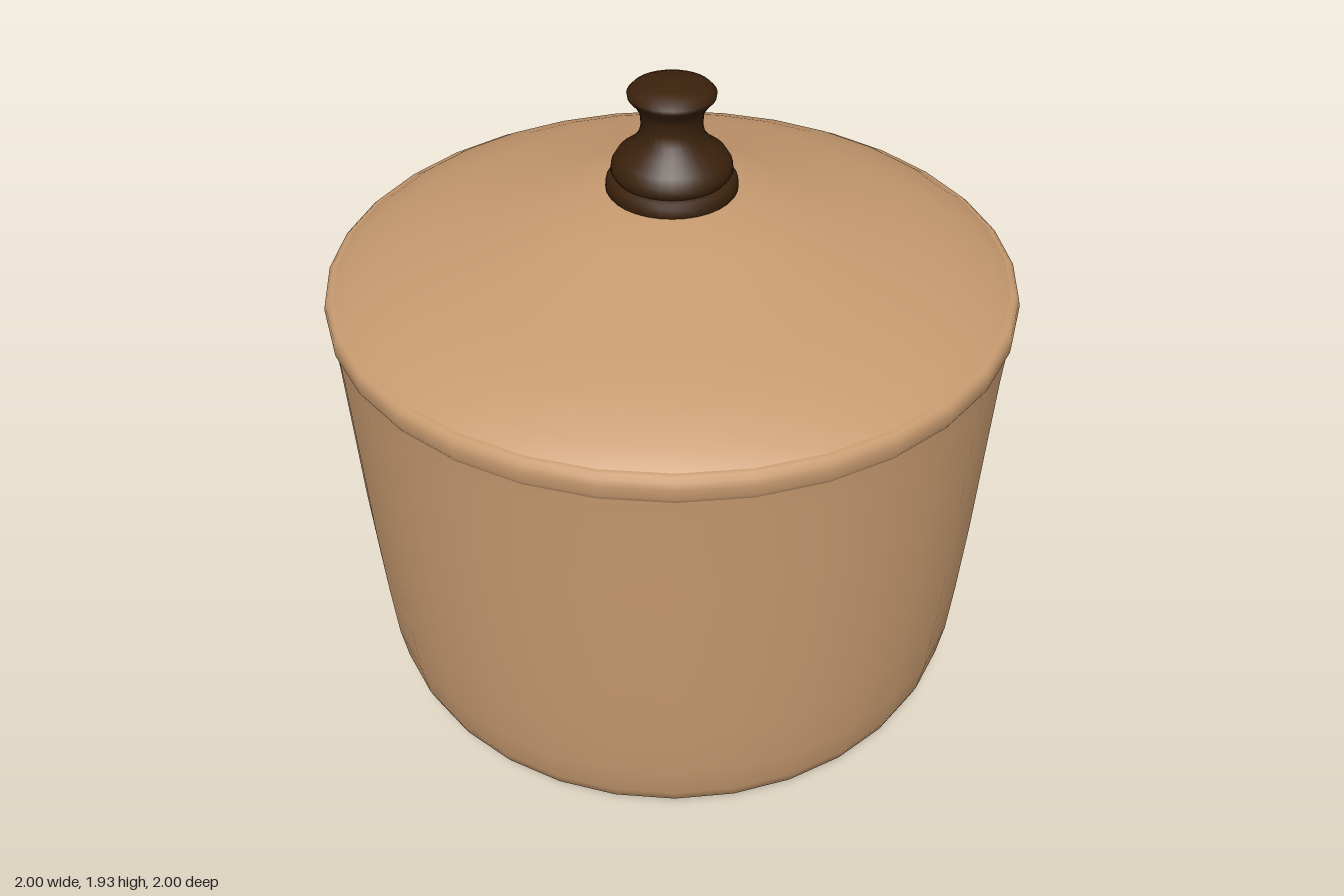
import * as THREE from 'three';

// Revolves a profile of [radius, height] points, listed from bottom to top
function turned(name, points, material, segments = 32) {
  const profile = points.map(([r, y]) => new THREE.Vector2(r, y));
  const mesh = new THREE.Mesh(new THREE.LatheGeometry(profile, segments), material);
  mesh.name = name;
  return mesh;
}

export function createModel() {
  const clay = new THREE.MeshStandardMaterial({ color: 0xc89b70 });
  clay.name = 'tan clay';
  const wood = new THREE.MeshStandardMaterial({ color: 0x3b220c });
  wood.name = 'dark wood';

  const pot = new THREE.Group();
  pot.name = 'lidded pot';

  // Tapered body with a rounded foot
  pot.add(turned('body', [
    [0, 0], [0.4, 0.007], [0.78, 0.015], [0.86, 0.035], [0.89, 0.065], [0.908, 0.11],
    [0.927, 0.22], [0.942, 0.4], [0.958, 0.65], [0.972, 0.95], [0.984, 1.2], [0.99, 1.28],
  ], clay));

  // Narrow rolled band around the lid
  pot.add(turned('lidRim', [
    [0.99, 1.28], [0.998, 1.295], [1, 1.325], [0.996, 1.345], [0.985, 1.355], [0.972, 1.357],
  ], clay));

  // Lid rising to the knob
  pot.add(turned('lid', [
    [0.972, 1.357], [0.92, 1.391], [0.81, 1.437], [0.68, 1.476],
    [0.53, 1.513], [0.36, 1.559], [0.19, 1.605], [0, 1.608],
  ], clay));

  // Base ring of the knob
  pot.add(turned('knobBase', [
    [0.18, 1.6], [0.188, 1.612], [0.186, 1.635], [0.176, 1.647], [0.155, 1.652],
  ], wood));

  // Waisted knob with a flared top
  pot.add(turned('knob', [
    [0.16, 1.648], [0.172, 1.665], [0.17, 1.687], [0.155, 1.712], [0.115, 1.743],
    [0.094, 1.77], [0.086, 1.8], [0.089, 1.838], [0.102, 1.862], [0.122, 1.885],
    [0.124, 1.897], [0.11, 1.912], [0.075, 1.926], [0, 1.933],
  ], wood));

  return pot;
}
